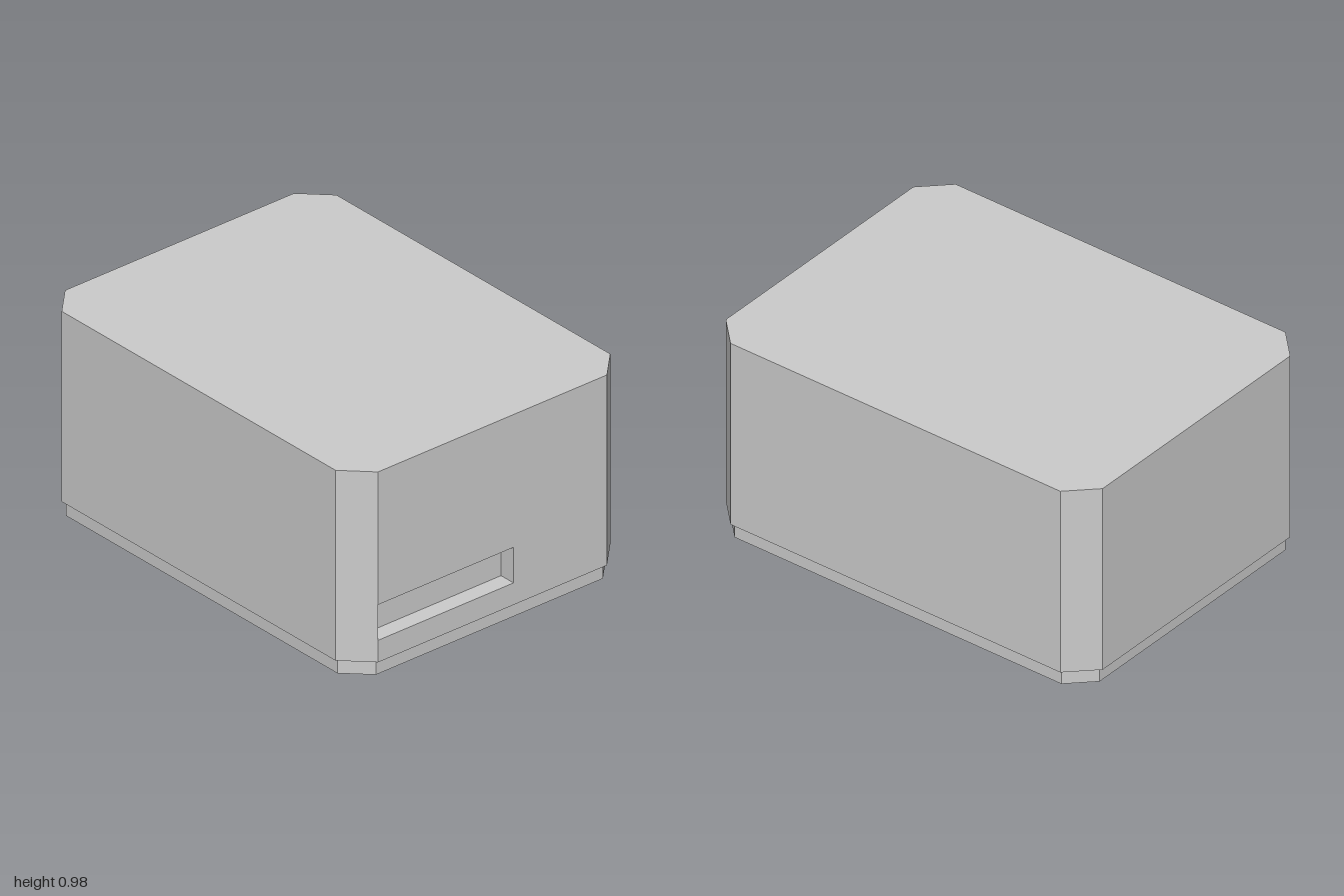
import * as THREE from 'three';
import { mergeGeometries } from 'three/addons/utils/BufferGeometryUtils.js';

const material = new THREE.MeshStandardMaterial({ color: 0xcccccc, flatShading: true });

// Rectangle with four cut corners, counter-clockwise from the front edge.
const octagon = (w, d, cw, cd) => [
  [-cw, -d], [cw, -d], [w, -cd], [w, cd], [cw, d], [-cw, d], [-w, cd], [-w, -cd],
];
const toVectors = (pts) => pts.map(([x, y]) => new THREE.Vector2(x, y));

// Flat walls along a closed outline from z0 to z1, facing out when counter-clockwise.
function walls(pts, z0, z1, skip = -1) {
  const pos = [];
  pts.forEach(([ax, ay], i) => {
    if (i === skip) return;
    const [bx, by] = pts[(i + 1) % pts.length];
    pos.push(ax, ay, z0, bx, by, z0, bx, by, z1, ax, ay, z0, bx, by, z1, ax, ay, z1);
  });
  const g = new THREE.BufferGeometry();
  g.setAttribute('position', new THREE.Float32BufferAttribute(pos, 3));
  g.computeVertexNormals();
  return g;
}

// Flat face at height z, optionally with a hole and optionally facing down.
function face(pts, z, hole = null, down = false) {
  const shape = new THREE.Shape(toVectors(pts));
  if (hole) shape.holes.push(new THREE.Path(toVectors(hole)));
  const g = new THREE.ShapeGeometry(shape).toNonIndexed();
  g.deleteAttribute('uv');
  if (down) g.scale(1, -1, 1).rotateX(Math.PI);
  if (down) {
    // Restore the outline and turn the triangles over.
    g.scale(1, 1, -1);
    const p = g.attributes.position;
    const v = new THREE.Vector3(), w = new THREE.Vector3();
    for (let i = 0; i < p.count; i += 3) {
      v.fromBufferAttribute(p, i + 1);
      w.fromBufferAttribute(p, i + 2);
      p.setXYZ(i + 1, w.x, w.y, w.z);
      p.setXYZ(i + 2, v.x, v.y, v.z);
    }
    g.computeVertexNormals();
  }
  return g.translate(0, 0, z);
}

const rect = (x0, x1, y0, y1) => [[x0, y0], [x1, y0], [x1, y1], [x0, y1]];

export function createModel() {
  const model = new THREE.Group();
  const add = (name, parts) => {
    const mesh = new THREE.Mesh(mergeGeometries(parts), material);
    mesh.name = name;
    model.add(mesh);
    return mesh;
  };

  const baseY = 0.07, topY = 0.98, slotDepth = 0.08;
  const bodyOutline = octagon(0.75, 1, 0.625, 0.875);
  const plinthOutline = octagon(0.733, 0.98, 0.62, 0.867);
  const slot = rect(-0.625, 0.115, 0.175, 0.345);

  // Casing with chamfered corners; its front is added separately
  add('casing', [
    walls(bodyOutline, baseY, topY, 0),
    face(bodyOutline, topY),
    face(bodyOutline, baseY, plinthOutline, true),
  ]).rotation.x = -Math.PI / 2;

  // Front panel with the slot opening
  add('frontPanel', [face(rect(-0.625, 0.625, baseY, topY), 1, slot)]);

  // Slot recess, facing inward
  add('slotRecess', [
    walls([...slot].reverse(), 1 - slotDepth, 1),
    face(slot, 1 - slotDepth),
  ]);

  // Inset plinth
  add('plinth', [
    walls(plinthOutline, 0, baseY),
    face(plinthOutline, 0, null, true),
  ]).rotation.x = -Math.PI / 2;

  return model;
}
